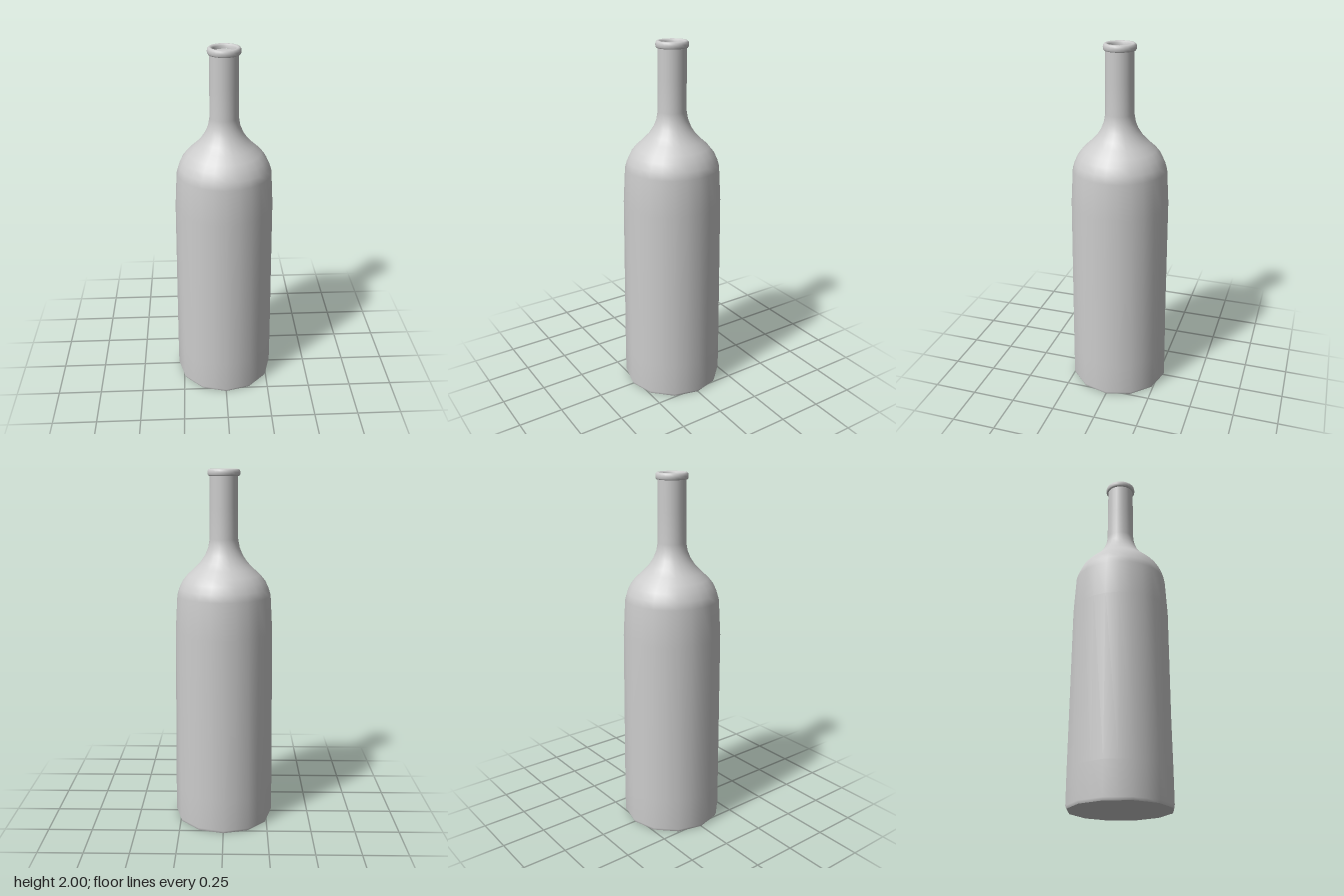
import * as THREE from 'three';

const SIDES = 24;
const material = new THREE.MeshStandardMaterial({ color: 0xcccccc });

// Surface of revolution from [radius, height] pairs
function turned(name, profile) {
  const points = profile.map(([r, y]) => new THREE.Vector2(r, y));
  const mesh = new THREE.Mesh(new THREE.LatheGeometry(points, SIDES), material);
  mesh.name = name;
  return mesh;
}

// Pull every second column inward so the foot becomes a 12-gon, fading to round higher up
function facetFoot(geometry, flatUntil, roundFrom) {
  const pos = geometry.attributes.position;
  const flat = Math.cos(Math.PI / 12);
  for (let i = 0; i < pos.count; i++) {
    const y = pos.getY(i);
    const column = Math.round(Math.atan2(pos.getX(i), pos.getZ(i)) / (Math.PI / 12));
    if (column % 2 === 0) continue;
    const k = THREE.MathUtils.lerp(flat, 1, THREE.MathUtils.clamp((y - flatUntil) / (roundFrom - flatUntil), 0, 1));
    pos.setXYZ(i, pos.getX(i) * k, y, pos.getZ(i) * k);
  }
}

// Horizontal disc facing up or down
function disc(name, radius, y, up) {
  const geometry = new THREE.CircleGeometry(radius, 12);
  geometry.rotateX(up ? -Math.PI / 2 : Math.PI / 2);
  const mesh = new THREE.Mesh(geometry, material);
  mesh.position.y = y;
  mesh.name = name;
  return mesh;
}

export function createModel() {
  const bottle = new THREE.Group();
  bottle.name = 'bottle';

  // Tapered body, shoulder and neck
  const body = turned('body', [
    [0.278, 0], [0.284, 0.015], [0.283, 0.2], [0.272, 1.12], [0.26, 1.32],
    [0.248, 1.36], [0.229, 1.4], [0.201, 1.435], [0.162, 1.47], [0.128, 1.505],
    [0.102, 1.545], [0.086, 1.585], [0.078, 1.63], [0.077, 1.8], [0.076, 1.968],
  ]);
  facetFoot(body.geometry, 0.2, 1.12);
  bottle.add(body, disc('base', 0.278, 0, false));

  // Rounded lip around the mouth
  bottle.add(turned('lip', [
    [0.075, 1.963], [0.083, 1.964], [0.087, 1.97], [0.088, 1.982], [0.086, 1.993],
    [0.08, 1.999], [0.073, 2], [0.066, 1.997], [0.061, 1.99], [0.06, 1.975],
  ]));
  bottle.add(disc('mouth', 0.061, 1.975, true));

  return bottle;
}
